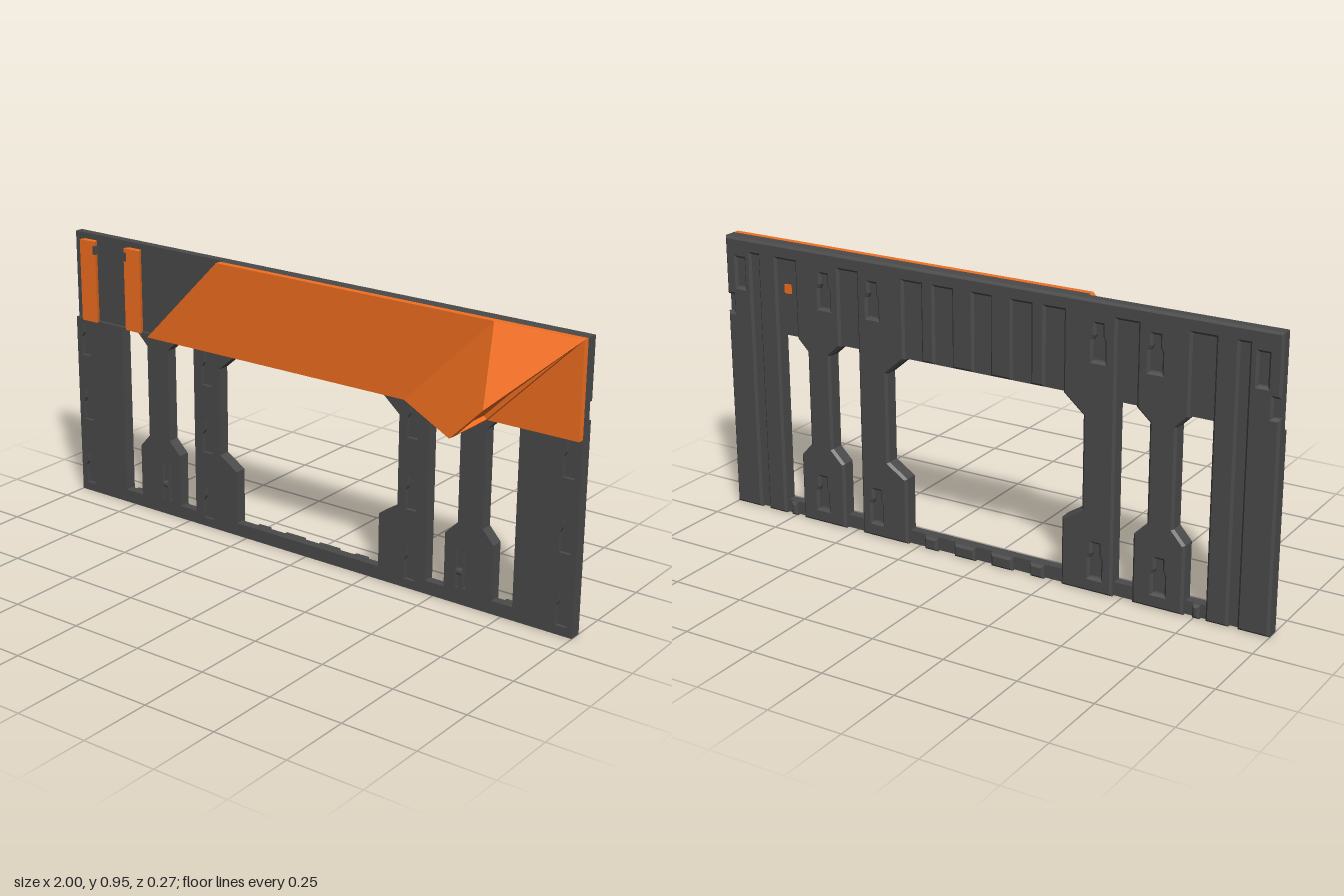
import * as THREE from 'three';

const grey = new THREE.MeshStandardMaterial({ color: 0x4a4a4a });
const orange = new THREE.MeshStandardMaterial({ color: 0xf26f21 });

const flip = (pts) => pts.map(([x, y]) => [-x, y]).reverse();
const both = (list) => list.flatMap((p) => [p, flip(p)]);
const rect = (x0, x1, y0, y1) => [[x0, y0], [x1, y0], [x1, y1], [x0, y1]];
const vec = (pts) => pts.map(([x, y]) => new THREE.Vector2(x, y));

// Slab between two depths, with optional holes and bevelled rims
function slab(name, pts, z0, z1, mat = grey, holes = [], bevel = 0) {
  const shape = new THREE.Shape(vec(pts));
  shape.holes = holes.map((h) => new THREE.Path(vec(h)));
  const geo = new THREE.ExtrudeGeometry(shape, {
    depth: z1 - z0 - 2 * bevel, bevelEnabled: bevel > 0, bevelSegments: 1,
    bevelThickness: bevel, bevelSize: bevel, bevelOffset: -bevel,
  });
  geo.translate(0, 0, z0 + bevel);
  const mesh = new THREE.Mesh(geo, mat);
  mesh.name = name;
  return mesh;
}

// Keyhole slot: wide below, narrow above
const keyhole = (x, y) => [
  [x - 0.02, y], [x + 0.02, y], [x + 0.02, y + 0.065], [x + 0.012, y + 0.08],
  [x + 0.012, y + 0.115], [x - 0.012, y + 0.115], [x - 0.012, y + 0.08], [x - 0.02, y + 0.065],
];

// Flat-sided surface from corner loops, counter-clockwise from outside
function facets(name, loops, mat) {
  const pos = [];
  for (const l of loops)
    for (let i = 1; i < l.length - 1; i++) pos.push(...l[0], ...l[i], ...l[i + 1]);
  const geo = new THREE.BufferGeometry();
  geo.setAttribute('position', new THREE.Float32BufferAttribute(pos, 3));
  geo.computeVertexNormals();
  const mesh = new THREE.Mesh(geo, mat);
  mesh.name = name;
  return mesh;
}

export function createModel() {
  const model = new THREE.Group();
  model.name = 'wallPanel';
  const BACK = -0.137, CORE = -0.118, STEP = -0.1, FACE = -0.087, FRONT = -0.065;

  // Window openings between the posts
  const windows = both([
    [[0.79, 0.045], [0.79, 0.64], [0.715, 0.64], [0.675, 0.6], [0.675, 0.275], [0.715, 0.23], [0.715, 0.045]],
    [[0.47, 0.045], [0.54, 0.045], [0.54, 0.23], [0.585, 0.275], [0.585, 0.6], [0.54, 0.64], [0.47, 0.64]],
  ]);
  const half = [[0.29, 0.045], [0.29, 0.23], [0.36, 0.275], [0.36, 0.58], [0.29, 0.64]];
  windows.push([...half, ...flip(half)]);

  // Core sheet, and the front facing with keyhole pockets
  model.add(slab('coreSheet', rect(-1, 1, 0, 0.95), CORE, STEP, grey, windows));
  const pockets = [];
  for (const x of [-0.96, -0.415, 0.41, 0.96])
    for (const y of [0.03, 0.27, 0.51]) pockets.push(keyhole(x, y));
  for (const s of [-1, 1])
    for (const d of [-0.014, 0.014])
      pockets.push(rect(s * 0.6 + d - 0.005, s * 0.6 + d + 0.005, 0.055, 0.185));
  model.add(slab('frontFacing', rect(-1, 1, 0, 0.645), STEP, FACE, grey, [...windows, ...pockets]));

  // Raised relief on the back
  const relief = (name, pts, holes = []) =>
    model.add(slab(name, pts, BACK, -0.108, grey, holes, 0.008));
  relief('topRim', rect(-1, 1, 0.9, 0.95));
  for (const s of [-1, 1]) {
    const m = (p) => (s > 0 ? p : flip(p));
    relief('innerPost', m([[0.29, 0], [0.47, 0], [0.47, 0.95], [0.29, 0.95], [0.29, 0.64],
      [0.36, 0.58], [0.36, 0.275], [0.29, 0.23]]), [keyhole(s * 0.41, 0.05), keyhole(s * 0.41, 0.76)]);
    relief('outerPost', m([[0.54, 0], [0.715, 0], [0.715, 0.23], [0.675, 0.275], [0.675, 0.6],
      [0.715, 0.64], [0.715, 0.95], [0.54, 0.95], [0.54, 0.64], [0.585, 0.6], [0.585, 0.275], [0.54, 0.23]]),
    [keyhole(s * 0.63, 0.05), keyhole(s * 0.6, 0.76)]);
    relief('sidePanelInner', m(rect(0.79, 0.865, 0, 0.95)));
    // Outer strip with the small notch in its edge
    relief('sidePanelOuter', m([[0.895, 0], [1, 0], [1, 0.69], [0.975, 0.69], [0.975, 0.75],
      [1, 0.75], [1, 0.95], [0.895, 0.95]]), [rect(s * 0.94 - 0.015, s * 0.94 + 0.015, 0.78, 0.88)]);
    relief('railRib', m(rect(0.745, 0.77, 0, 0.045)));

    // Ribs of the header with matching lugs on the bottom rail
    for (const [x, w] of [[0.2, 0.05], [0.07, 0.08]]) {
      relief('headerRib', m(rect(x - w / 2, x + w / 2, 0.645, 0.92)));
      relief('railLug', m(rect(x - w / 2, x + w / 2, 0, 0.045)));
    }

    // Hook on the foot of the outer post
    const hook = new THREE.Mesh(new THREE.CylinderGeometry(0.013, 0.013, 0.018, 8), grey);
    hook.name = 'footHook';
    hook.rotation.z = Math.PI / 2;
    hook.position.set(s * 0.6, 0.113, -0.089);
    model.add(hook);
  }

  // Slanted cover with its grey backing
  const cover = [[-0.655, 0.64], [1, 0.64], [1, 0.95], [-0.35, 0.95]];
  const backing = [[-0.645, 0.645], [1, 0.645], [1, 0.95], [-0.35, 0.95]];
  model.add(slab('coverBacking', backing, STEP, FACE));
  model.add(slab('cover', cover, FACE, FRONT, orange));

  // Wedge hood, its diagonal mouth holding a shallow recess
  const A = [0.39, 0.64, FRONT], B = [0.7, 0.95, FRONT], C = [1, 0.95, FRONT];
  const D = [0.685, 0.64, 0.137], E = [0.795, 0.75, 0.137], G = [0.69, 0.64, FRONT];
  const rim = [G, C, E, D];
  const lip = [[0.695, 0.647, -0.052], [0.958, 0.91, -0.052], [0.771, 0.724, 0.113], [0.693, 0.646, 0.113]];
  const floor = lip.map(([x, y, z]) => [x - 0.01, y + 0.01, z]);
  const band = (a, b) => a.map((p, i) => [p, a[(i + 1) % 4], b[(i + 1) % 4], b[i]]);
  model.add(facets('hood', [[E, C, B], [D, E, B, A], [G, D, A], ...band(rim, lip), ...band(lip, floor), floor], orange));

  // Dovetail rails on the bare corner of the header
  for (const x of [-0.93, -0.73]) {
    const section = [[x - 0.026, 0.1], [x - 0.035, 0.08], [x + 0.035, 0.08], [x + 0.026, 0.1]];
    const rail = slab('dovetailRail', section, 0.642, 0.93, orange);
    rail.geometry.rotateX(-Math.PI / 2);
    model.add(rail);
    const catchTab = new THREE.Mesh(new THREE.BoxGeometry(0.012, 0.03, 0.015), grey);
    catchTab.name = 'railCatch';
    catchTab.position.set(x + Math.sign(x + 0.83) * -0.03, 0.9, -0.086);
    model.add(catchTab);
  }

  // Fixing peg of the cover, showing on the back
  const peg = new THREE.Mesh(new THREE.BoxGeometry(0.025, 0.03, 0.04), orange);
  peg.name = 'coverPeg';
  peg.position.set(0.755, 0.8, -0.104);
  model.add(peg);

  return model;
}
